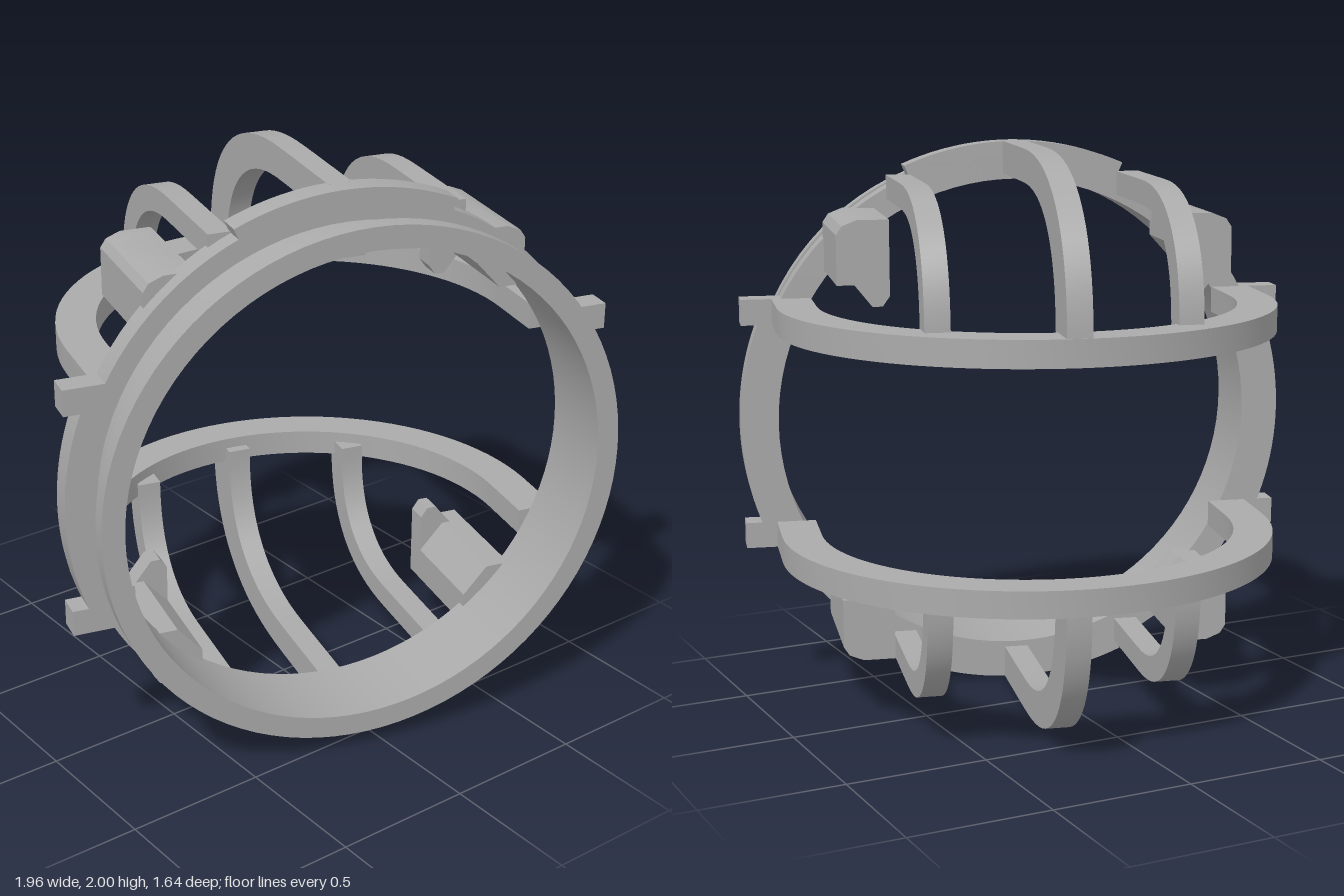
import * as THREE from 'three';
import { toCreasedNormals } from 'three/addons/utils/BufferGeometryUtils.js';

export function createModel() {
  const grey = new THREE.MeshStandardMaterial({ color: 0xaaaaaa });
  grey.name = 'grey plastic';

  // Everything is built around the ring axis (local z), then turned and lifted
  const cage = new THREE.Group();
  cage.name = 'cage';

  const add = (name, geometry) => {
    const mesh = new THREE.Mesh(toCreasedNormals(geometry, 0.5), grey);
    mesh.name = name;
    cage.add(mesh);
    return mesh;
  };
  const extrude = (points, depth) => new THREE.ExtrudeGeometry(
    new THREE.Shape(points.map(([x, y]) => new THREE.Vector2(x, y))),
    { depth, bevelEnabled: false });

  // Arc points on a circle
  const arc = (r, from, to, n, cx = 0, cy = 0) => Array.from({ length: n + 1 }, (_, i) => {
    const t = from + (to - from) * i / n;
    return [cx + r * Math.cos(t), cy + r * Math.sin(t)];
  });

  // Collar: bore, rear band, neck and front flange
  const profile = [[0.865, 0.26], [0.96, 0.26], [0.96, 0.35], [0.89, 0.35], [0.89, 0.505],
    [0.945, 0.505], [0.945, 0.57], [0.865, 0.57], [0.865, 0.26]];
  add('collar', new THREE.LatheGeometry(profile.map(p => new THREE.Vector2(...p)), 96).rotateX(Math.PI / 2));

  // Raised segments on the rear band: top, bottom and both sides
  [[0, 0.39], [Math.PI / 2, 0.41], [Math.PI, 0.39], [-Math.PI / 2, 0.41]].forEach(([mid, half]) => {
    const outline = [...arc(1, mid - half, mid + half, 20), ...arc(0.9, mid + half, mid - half, 20)];
    add('raisedBand', extrude(outline, 0.09).translate(0, 0, 0.26));
  });

  // Rib outline in (z, y): straight from the collar, then a squarish quarter curve
  const ribCurve = (top, back) => Array.from({ length: 21 }, (_, i) => {
    const t = i / 20 * Math.PI / 2;
    return [-0.1 - (back - 0.1) * Math.sin(t) ** 0.8, 0.4 + (top - 0.4) * Math.cos(t) ** 0.8];
  });
  const rib = (x, sy, top, back, inTop, inBack) => {
    const outline = [[0.28, top], ...ribCurve(top, back), ...ribCurve(inTop, inBack).reverse(), [0.28, inTop]];
    add('rib', extrude(outline.map(([z, y]) => [z, y * sy]), 0.085)
      .rotateY(-Math.PI / 2).translate(x + 0.0425, 0, 0));
  };

  for (const sy of [1, -1]) {
    // Horizontal hoop with straight legs and square feet
    const outline = [[0.88, 0.26], [0.99, 0.26], [0.99, 0.35], [0.8, 0.35], [0.8, 0.26], [0.74, 0.26],
      ...arc(0.74, 0, -Math.PI, 48, 0, 0.032),
      [-0.74, 0.26], [-0.8, 0.26], [-0.8, 0.35], [-0.99, 0.35], [-0.99, 0.26], [-0.88, 0.26],
      ...arc(0.88, -Math.PI, 0, 48, 0, 0.032)];
    add('hoop', extrude(outline, 0.093).rotateX(Math.PI / 2).translate(0, sy * 0.407 + 0.0465, 0));

    // Centre rib and two side ribs
    rib(0, sy, 1, 0.845, 0.885, 0.67);
    for (const sx of [1, -1]) {
      rib(sx * 0.42, sy, 0.885, 0.635, 0.8, 0.53);

      // Clip arm with a hook at its rear end
      const mirrored = pts => pts.map(([x, y]) => [x * sx, y * sy]);
      const arm = [[0.69, 0.55], [0.6, 0.55], [0.51, 0.65], [0.51, 0.77], [0.62, 0.77], [0.67, 0.75], [0.69, 0.72]];
      const hook = [[0.69, 0.55], [0.63, 0.55], [0.57, 0.475], [0.535, 0.475], [0.51, 0.51],
        [0.51, 0.77], [0.62, 0.77], [0.67, 0.75], [0.69, 0.72]];
      add('clipArm', extrude(mirrored(arm), 0.37).translate(0, 0, -0.08));
      add('clipHook', extrude(mirrored(hook), 0.08).translate(0, 0, -0.16));
    }
  }

  cage.position.set(0.082, 1, 0.022);
  cage.rotation.y = -Math.PI / 12;

  const model = new THREE.Group();
  model.name = 'ringCage';
  model.add(cage);
  return model;
}
